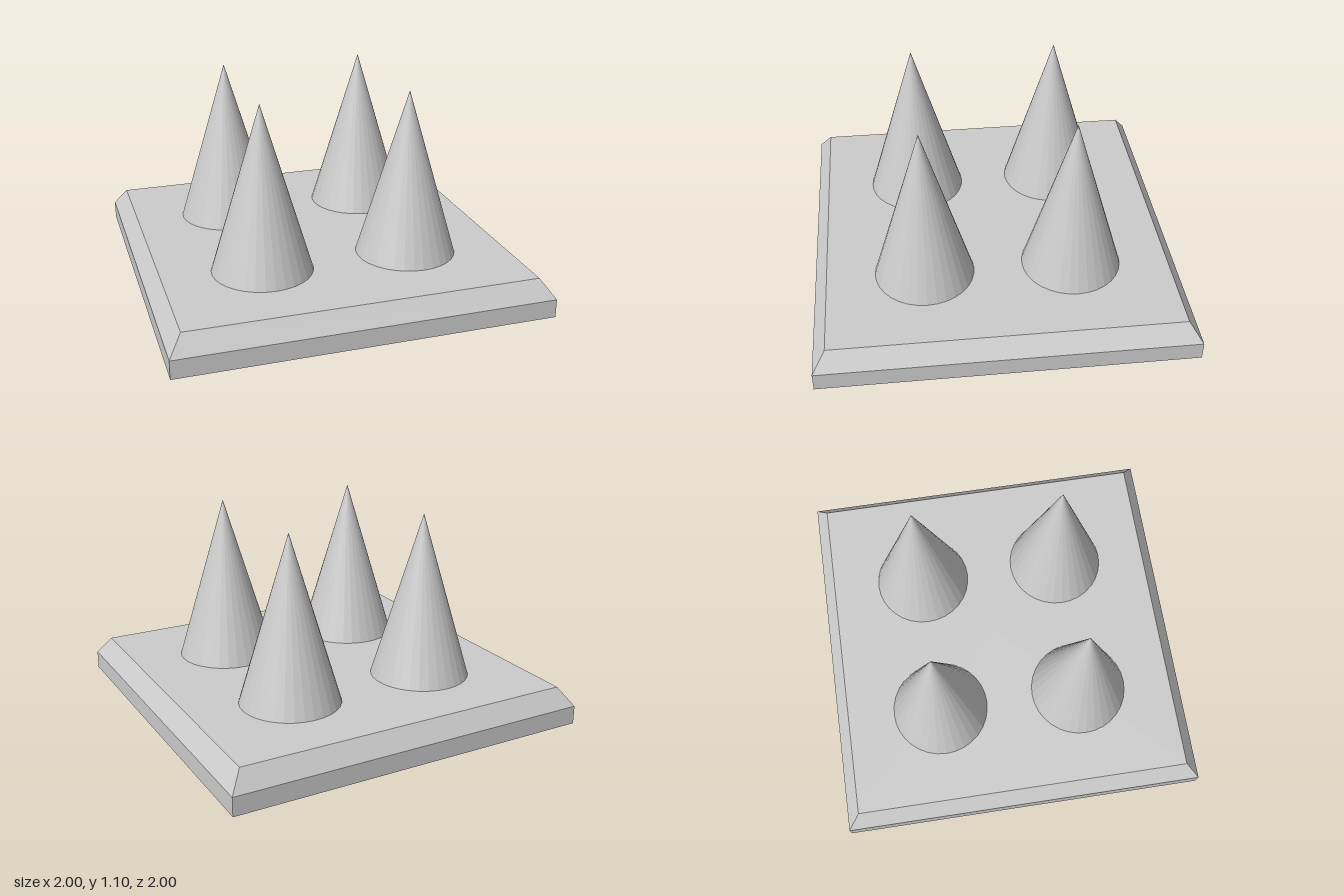
import * as THREE from 'three';

const BASE_TOP = 0.2;
const SPIKE_HEIGHT = 0.9;
const SPIKE_RADIUS = 0.268;
const SPIKE_OFFSET = 0.4;

export function createModel() {
  const model = new THREE.Group();
  model.name = 'spikePlate';
  const material = new THREE.MeshStandardMaterial({ color: 0xcccccc, flatShading: true });

  // Square plate with a bevelled upper edge: a four-sided lathe of [half width, height]
  const profile = [[0, 0], [1, 0], [1, 0.1], [0.93, BASE_TOP], [0, BASE_TOP]]
    .map(([half, y]) => new THREE.Vector2(half * Math.SQRT2, y));
  const base = new THREE.Mesh(new THREE.LatheGeometry(profile, 4, Math.PI / 4), material);
  base.name = 'base';
  model.add(base);

  // Four conical spikes standing on the plate
  const spikeGeometry = new THREE.ConeGeometry(SPIKE_RADIUS, SPIKE_HEIGHT, 32, 1, true);
  for (const [sx, side] of [[1, 'Left'], [-1, 'Right']]) {
    for (const [sz, end] of [[1, 'front'], [-1, 'back']]) {
      const spike = new THREE.Mesh(spikeGeometry, material);
      spike.name = `${end}${side}Spike`;
      spike.position.set(sx * SPIKE_OFFSET, BASE_TOP + SPIKE_HEIGHT / 2, sz * SPIKE_OFFSET);
      model.add(spike);
    }
  }
  return model;
}
